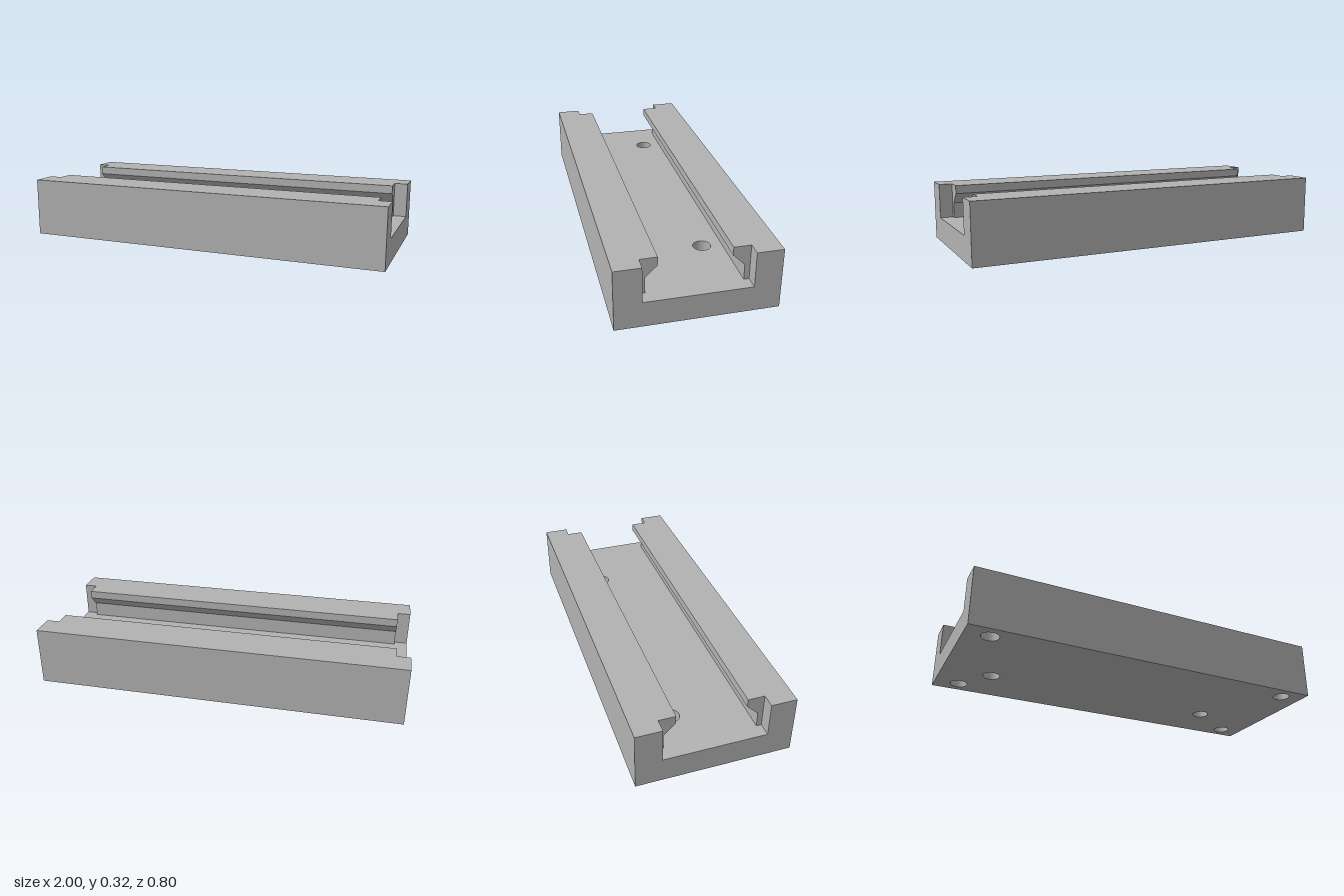
import * as THREE from 'three';
import { toCreasedNormals } from 'three/addons/utils/BufferGeometryUtils.js';

const HEIGHT = 0.318, FLOOR = 0.133; // overall height, channel floor
const HALF_X = 1, HALF_Z = 0.4;
const WALL_Z = 0.266;                // inner face of the outer walls
const JAW_X = 0.93;                  // half length of the undercut jaws
const HOLE_R = 0.046;

const grey = new THREE.MeshStandardMaterial({ color: 0xb2b2b2 });
grey.name = 'grey metal';

function addMesh(parent, name, geometry) {
  const mesh = new THREE.Mesh(geometry, grey);
  mesh.name = name;
  parent.add(mesh);
  return mesh;
}

// Base plate: two channel holes and four corner holes that end below the rails
function basePlateGeometry() {
  const shape = new THREE.Shape([
    new THREE.Vector2(-HALF_X, -HALF_Z), new THREE.Vector2(HALF_X, -HALF_Z),
    new THREE.Vector2(HALF_X, HALF_Z), new THREE.Vector2(-HALF_X, HALF_Z),
  ]);
  const holes = [[-0.735, -0.135], [0.597, -0.135]];
  for (const x of [-0.87, 0.87]) for (const z of [-0.317, 0.317]) holes.push([x, z]);
  for (const [x, z] of holes) {
    shape.holes.push(new THREE.Path().absarc(x, -z, HOLE_R, 0, Math.PI * 2, true));
  }
  const geometry = new THREE.ExtrudeGeometry(shape, { depth: FLOOR, bevelEnabled: false, curveSegments: 32 });
  geometry.rotateX(-Math.PI / 2);
  return toCreasedNormals(geometry, 0.6);
}

// Undercut jaw: cross-section in (z, y), swept along x
function jawGeometry() {
  const section = [
    [WALL_Z, FLOOR], [0.239, FLOOR], [0.239, 0.215],
    [0.179, 0.274], [0.179, HEIGHT], [WALL_Z, HEIGHT],
  ];
  const shape = new THREE.Shape(section.map(([z, y]) => new THREE.Vector2(-z, y)));
  const geometry = new THREE.ExtrudeGeometry(shape, { depth: JAW_X * 2, bevelEnabled: false });
  geometry.translate(0, 0, -JAW_X);
  geometry.rotateY(Math.PI / 2);
  return geometry;
}

export function createModel() {
  const model = new THREE.Group();
  model.name = 'slottedRailBlock';

  addMesh(model, 'basePlate', basePlateGeometry());

  // Each rail is a full-length outer wall with a shorter jaw on its inside
  const wall = new THREE.BoxGeometry(HALF_X * 2, HEIGHT - FLOOR, HALF_Z - WALL_Z);
  wall.translate(0, (HEIGHT + FLOOR) / 2, (HALF_Z + WALL_Z) / 2);
  const jaw = jawGeometry();
  for (const [name, turn] of [['frontRail', 0], ['backRail', Math.PI]]) {
    const rail = new THREE.Group();
    rail.name = name;
    rail.rotation.y = turn;
    addMesh(rail, 'outerWall', wall);
    addMesh(rail, 'undercutJaw', jaw);
    model.add(rail);
  }
  return model;
}
